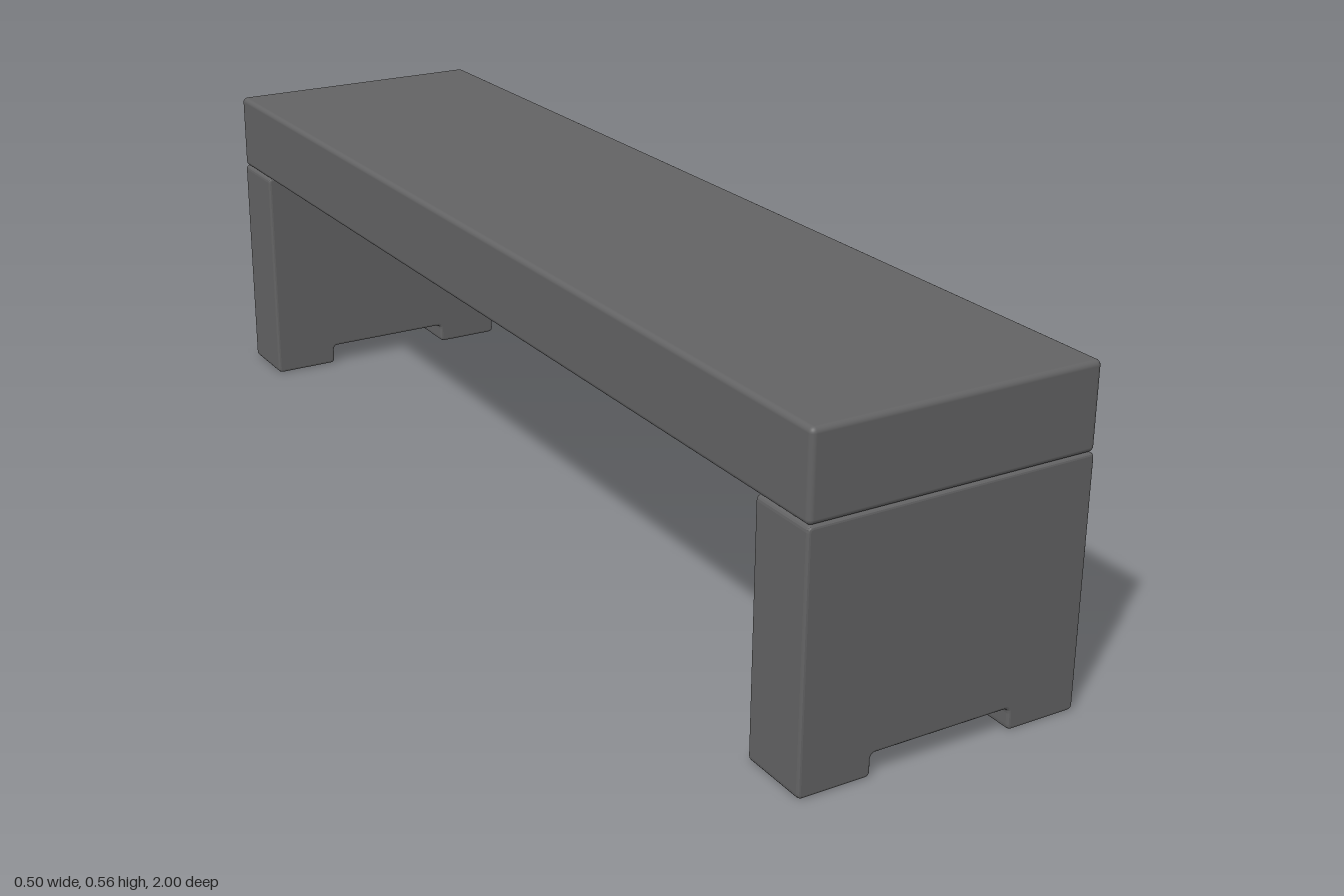
import * as THREE from 'three';
import { RoundedBoxGeometry } from 'three/addons/geometries/RoundedBoxGeometry.js';

const HALF_WIDTH = 0.25, SEAT_BOTTOM = 0.42, HEIGHT = 0.562;
const LEG_DEPTH = 0.125, NOTCH_HALF = 0.125, NOTCH_HEIGHT = 0.037, BEVEL = 0.005;

// Closed outline with every corner rounded by radius r
function roundedOutline(points, r) {
  const shape = new THREE.Shape();
  const corners = points.map(([x, y]) => new THREE.Vector2(x, y));
  corners.forEach((p, i) => {
    const prev = corners[(i + corners.length - 1) % corners.length];
    const next = corners[(i + 1) % corners.length];
    const a = p.clone().add(prev.clone().sub(p).setLength(r));
    const b = p.clone().add(next.clone().sub(p).setLength(r));
    if (i === 0) shape.moveTo(a.x, a.y);
    else shape.lineTo(a.x, a.y);
    shape.quadraticCurveTo(p.x, p.y, b.x, b.y);
  });
  shape.closePath();
  return shape;
}

export function createModel() {
  const group = new THREE.Group();
  group.name = 'bench';
  const grey = new THREE.MeshStandardMaterial({ color: 0x636364 });
  grey.name = 'dark grey';

  // Long seat slab with softened edges
  const thickness = HEIGHT - SEAT_BOTTOM;
  const seat = new THREE.Mesh(new RoundedBoxGeometry(2 * HALF_WIDTH, thickness, 2, 3, 0.009), grey);
  seat.name = 'seat';
  seat.position.y = SEAT_BOTTOM + thickness / 2;
  group.add(seat);

  // Panel leg with a shallow notch that leaves two feet
  const outline = roundedOutline([
    [-HALF_WIDTH, 0], [-NOTCH_HALF, 0], [-NOTCH_HALF, NOTCH_HEIGHT], [NOTCH_HALF, NOTCH_HEIGHT],
    [NOTCH_HALF, 0], [HALF_WIDTH, 0], [HALF_WIDTH, SEAT_BOTTOM], [-HALF_WIDTH, SEAT_BOTTOM],
  ], 0.009);
  const legGeometry = new THREE.ExtrudeGeometry(outline, {
    depth: LEG_DEPTH - 2 * BEVEL, curveSegments: 4,
    bevelEnabled: true, bevelThickness: BEVEL, bevelSize: BEVEL, bevelOffset: -BEVEL, bevelSegments: 3,
  });
  legGeometry.translate(0, 0, -LEG_DEPTH / 2 + BEVEL);

  for (const [name, side] of [['frontLeg', 1], ['backLeg', -1]]) {
    const leg = new THREE.Mesh(legGeometry, grey);
    leg.name = name;
    leg.position.z = side * (1 - LEG_DEPTH / 2);
    group.add(leg);
  }
  return group;
}
